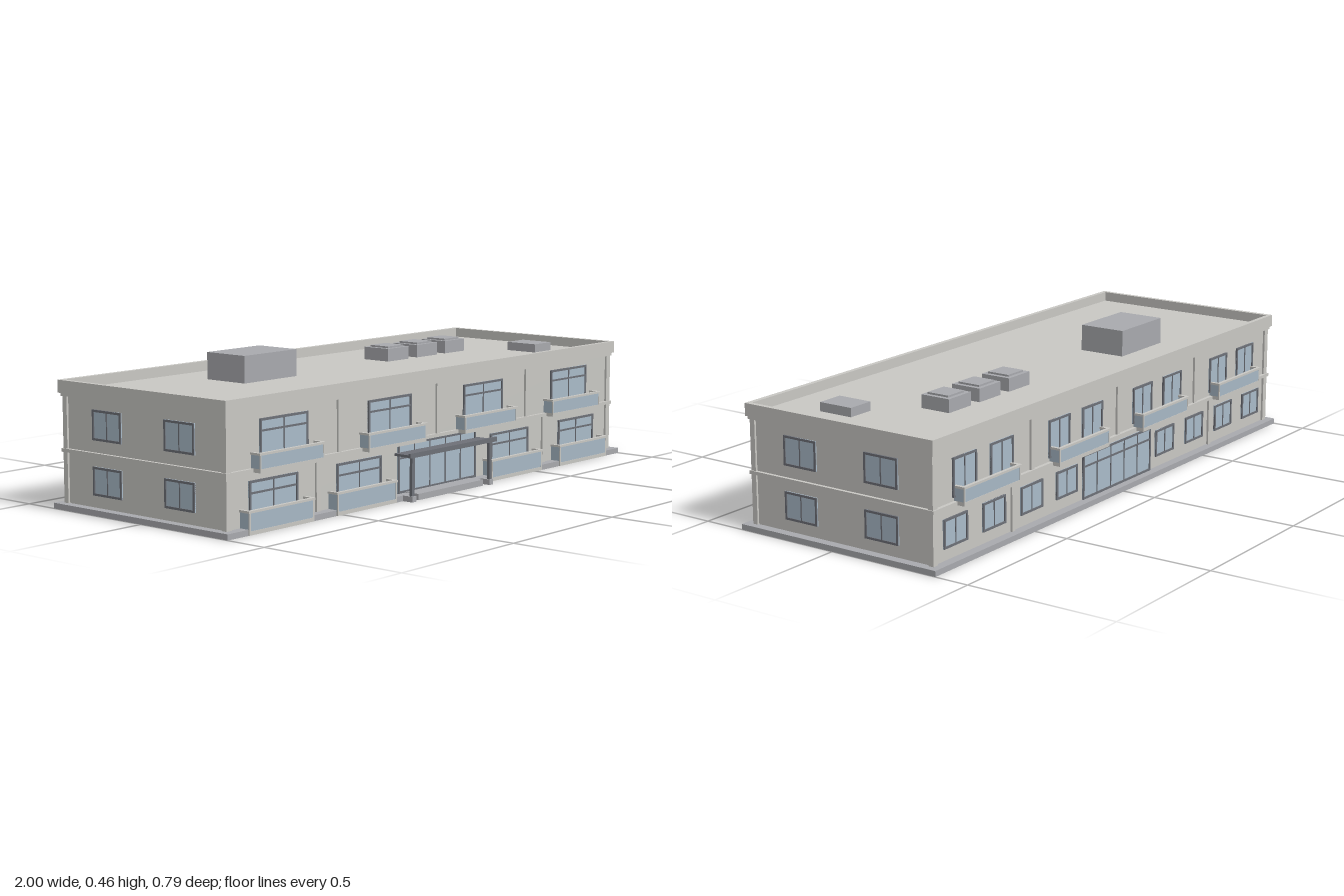
import * as THREE from 'three';

const mat = (name, color) => {
  const m = new THREE.MeshStandardMaterial({ color });
  m.name = name;
  return m;
};

export function createModel() {
  const wall = mat('pale render', 0xc8c7c3);
  const stone = mat('grey stone', 0xa8a9ad);
  const frame = mat('dark frame', 0x6d7077);
  const glass = mat('window glass', 0xa9bac8);
  const panel = mat('balcony glazing', 0xa6b7c4);

  const model = new THREE.Group();
  model.name = 'apartmentBuilding';

  // Box given by its minimum and maximum on each axis
  const box = (parent, name, m, x0, x1, y0, y1, z0, z1) => {
    const mesh = new THREE.Mesh(new THREE.BoxGeometry(x1 - x0, y1 - y0, z1 - z0), m);
    mesh.position.set((x0 + x1) / 2, (y0 + y1) / 2, (z0 + z1) / 2);
    mesh.name = name;
    parent.add(mesh);
    return mesh;
  };

  // Facade groups: local +z points outwards, local z = 0 is the wall plane
  const facade = (name, x, z, angle) => {
    const g = new THREE.Group();
    g.name = name;
    g.position.set(x, 0, z);
    g.rotation.y = angle;
    model.add(g);
    return g;
  };
  const FRONT = 0.325, BACK = -0.354, SIDE = 0.97;
  const front = facade('frontFacade', 0, FRONT, 0);
  const back = facade('backFacade', 0, BACK, Math.PI);
  const left = facade('leftFacade', SIDE, 0, Math.PI / 2);
  const right = facade('rightFacade', -SIDE, 0, -Math.PI / 2);

  // Framed window with vertical bars and an optional transom
  const windowUnit = (parent, name, cx, w, y0, y1, panes, transom, t = 0.007) => {
    const g = new THREE.Group();
    g.name = name;
    parent.add(g);
    const a = cx - w / 2, b = cx + w / 2, d = 0.006;
    box(g, 'pane', glass, a, b, y0, y1, -0.004, 0.003);
    box(g, 'sill', frame, a, b, y0, y0 + t, 0, d);
    box(g, 'head', frame, a, b, y1 - t, y1, 0, d);
    for (let i = 0; i <= panes; i++) {
      const edge = i === 0 || i === panes;
      const bw = edge ? t : 0.004;
      const x = a + bw / 2 + (w - bw) * i / panes;
      box(g, 'bar', frame, x - bw / 2, x + bw / 2, y0 + t, y1 - t, 0, edge ? d : 0.005);
    }
    if (transom) box(g, 'transom', frame, a + t, b - t, transom - 0.003, transom + 0.003, 0, 0.0055);
  };

  // Balcony: slab, glazed parapet on three sides, pale rim
  const balcony = (parent, cx, y0, y1) => {
    const g = new THREE.Group();
    g.name = 'balcony';
    parent.add(g);
    const a = cx - 0.14, b = cx + 0.14, d = 0.038, s = y0 + 0.012, r = y1 - 0.007;
    box(g, 'slab', wall, a, b, y0, s, 0, d);
    box(g, 'frontPanel', panel, a + 0.003, b - 0.003, s, r, d - 0.006, d - 0.001);
    for (const [p, q] of [[a, a + 0.005], [b - 0.005, b]]) {
      box(g, 'sidePanel', panel, p, q, s, r, 0, d - 0.004);
      box(g, 'cornerPost', wall, p, q, s, r, d - 0.004, d);
    }
    box(g, 'frontRim', wall, a - 0.004, b + 0.004, r, y1, d - 0.009, d + 0.002);
    box(g, 'sideRim', wall, a - 0.004, a + 0.007, r, y1, 0, d - 0.009);
    box(g, 'sideRim', wall, b - 0.007, b + 0.004, r, y1, 0, d - 0.009);
  };

  // Main body, plinth and horizontal bands
  box(model, 'plinth', stone, -1, 1, 0, 0.018, -0.385, 0.358);
  box(model, 'walls', wall, -SIDE, SIDE, 0.018, 0.368, BACK, FRONT);
  box(model, 'floorBand', wall, -0.981, 0.981, 0.177, 0.188, -0.366, 0.336);
  box(model, 'corniceBand', wall, -0.981, 0.981, 0.35, 0.361, -0.366, 0.336);

  // Roof parapet
  const X = 0.987, Z0 = -0.371, Z1 = 0.341, T = 0.016;
  box(model, 'parapet', wall, -X, X, 0.36, 0.4, Z1 - T, Z1);
  box(model, 'parapet', wall, -X, X, 0.36, 0.4, Z0, Z0 + T);
  box(model, 'parapet', wall, -X, -X + T, 0.36, 0.4, Z0 + T, Z1 - T);
  box(model, 'parapet', wall, X - T, X, 0.36, 0.4, Z0 + T, Z1 - T);

  // Corner piers
  for (const s of [-1, 1]) {
    const a = s < 0 ? -0.977 : 0.955, b = s < 0 ? -0.955 : 0.977;
    box(model, 'cornerPier', wall, a, b, 0.018, 0.352, 0.314, 0.332);
    box(model, 'cornerPier', wall, a, b, 0.018, 0.352, -0.361, -0.343);
  }

  // Slim pilasters between the bays
  for (const f of [front, back]) {
    for (const x of [-0.48, 0, 0.48]) box(f, 'pilaster', wall, x - 0.008, x + 0.008, 0.188, 0.35, 0, 0.007);
    for (const x of [-0.58, 0.58]) box(f, 'pilaster', wall, x - 0.008, x + 0.008, 0.018, 0.177, 0, 0.007);
  }

  // Front: balcony windows on both floors
  for (const s of [-1, 1]) {
    for (const x of [0.24, 0.727]) {
      windowUnit(front, 'upperBalconyWindow', s * x, 0.21, 0.19, 0.33, 2, 0.294);
      balcony(front, s * x, 0.177, 0.236);
    }
    for (const x of [0.387, 0.774]) {
      windowUnit(front, 'lowerBalconyWindow', s * x, 0.21, 0.02, 0.152, 2, 0.115);
      balcony(front, s * x, 0.001, 0.073);
    }
  }

  // Back: paired windows above shared balconies, single windows below
  for (const s of [-1, 1]) {
    for (const x of [0.24, 0.727]) {
      for (const o of [-0.092, 0.092]) windowUnit(back, 'upperBackWindow', s * x + o, 0.115, 0.2, 0.32, 2, 0);
      balcony(back, s * x, 0.177, 0.236);
    }
    for (const x of [0.29, 0.48, 0.675, 0.865]) windowUnit(back, 'lowerBackWindow', s * x, 0.115, 0.055, 0.145, 2, 0);
  }
  windowUnit(back, 'rearGlazing', 0, 0.4, 0.018, 0.165, 5, 0.125);

  // Sides: two windows on each floor
  for (const [f, s] of [[left, -1], [right, 1]]) {
    for (const z of [0.139, -0.169]) {
      windowUnit(f, 'sideWindow', s * z, 0.125, 0.056, 0.145, 2, 0);
      windowUnit(f, 'sideWindow', s * z, 0.125, 0.226, 0.32, 2, 0);
    }
  }

  // Main entrance with steps, glazing, canopy and posts
  windowUnit(front, 'entranceGlazing', 0, 0.4, 0.018, 0.176, 5, 0.13);
  box(model, 'entranceStep', stone, -0.167, 0.167, 0, 0.02, 0.33, 0.385);
  box(model, 'canopySlab', frame, -0.215, 0.215, 0.141, 0.149, 0.326, 0.39);
  box(model, 'canopyFascia', frame, -0.224, 0.224, 0.141, 0.156, 0.39, 0.398);
  for (const s of [-1, 1]) {
    box(model, 'canopyPost', frame, s * 0.2 - 0.006, s * 0.2 + 0.006, 0.018, 0.142, 0.381, 0.391);
    box(model, 'postFoot', stone, s * 0.2 - 0.01, s * 0.2 + 0.01, 0, 0.018, 0.355, 0.395);
  }

  // Rooftop plant room and skylights
  box(model, 'plantRoom', stone, -0.51, -0.268, 0.366, 0.455, -0.2, -0.038);
  for (const x of [0.269, 0.424, 0.579]) {
    box(model, 'skylightBase', stone, x - 0.055, x + 0.055, 0.366, 0.411, -0.161, -0.056);
    box(model, 'skylightTop', stone, x - 0.04, x + 0.04, 0.411, 0.417, -0.147, -0.069);
  }
  box(model, 'roofHatch', stone, 0.748, 0.84, 0.366, 0.397, 0.05, 0.17);

  return model;
}
